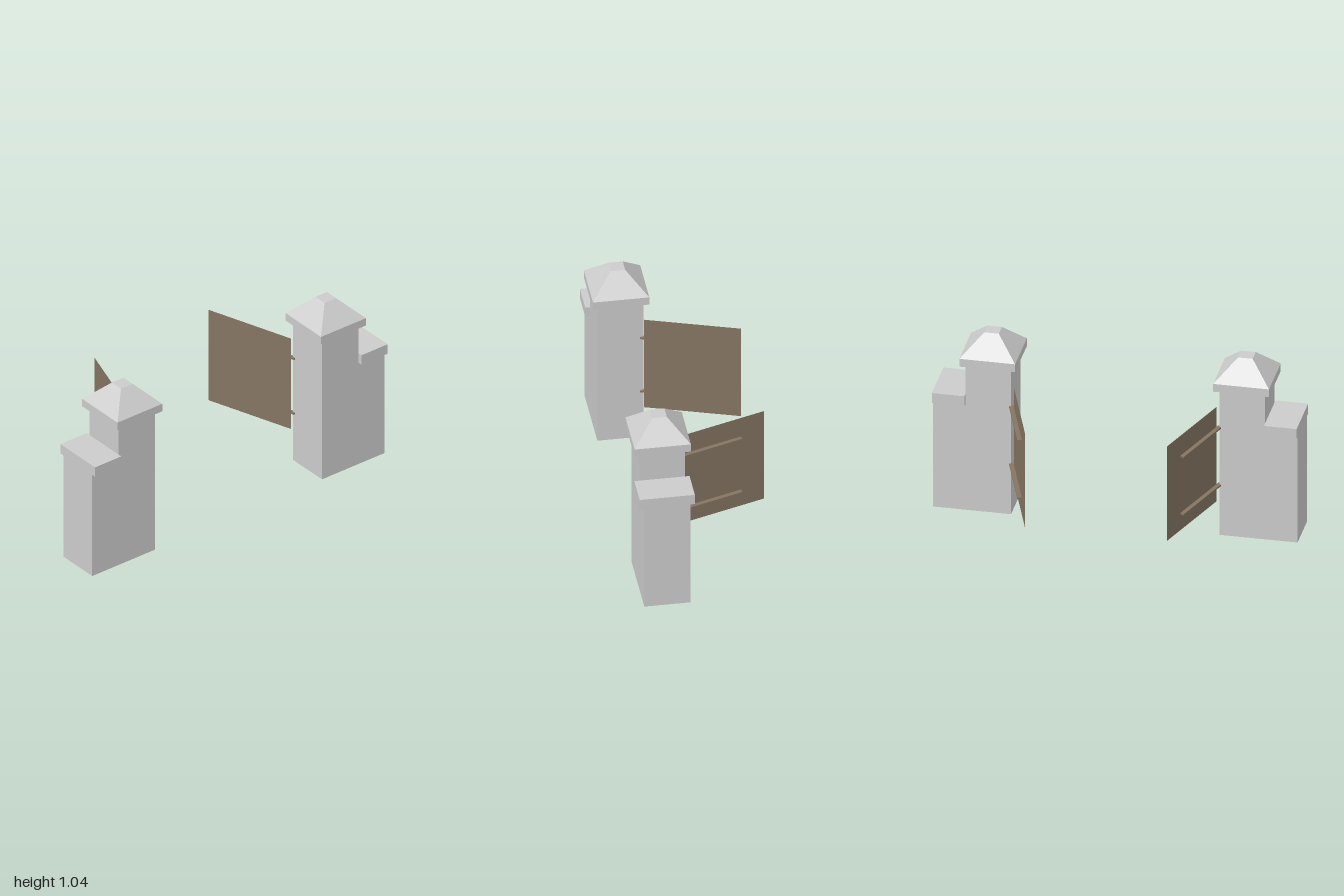
import * as THREE from 'three';

const stone = new THREE.MeshStandardMaterial({ color: 0xcccccc, flatShading: true, side: THREE.DoubleSide });
const wood = new THREE.MeshStandardMaterial({ color: 0x857562, flatShading: true, side: THREE.DoubleSide });

const Z = 0.235; // depth of the masonry centre line

function add(parent, name, geometry, material, x, y, z) {
  const mesh = new THREE.Mesh(geometry, material);
  mesh.name = name;
  mesh.position.set(x, y, z);
  parent.add(mesh);
  return mesh;
}

// Box standing on the ground with its underside left open
function hollowBox(w, h, d) {
  const g = new THREE.BoxGeometry(w, h, d);
  const index = Array.from(g.index.array);
  index.splice(18, 6);
  g.setIndex(index);
  g.clearGroups();
  return g;
}

// Square frustum given by half widths
function frustum(top, bottom, h) {
  return new THREE.CylinderGeometry(top * Math.SQRT2, bottom * Math.SQRT2, h, 4).rotateY(Math.PI / 4);
}

function gatePost(s) {
  const post = new THREE.Group();
  // Tall pillar with slab and truncated pyramid on top
  add(post, 'pillar', hollowBox(0.25, 0.88, 0.25), stone, s * 0.696, 0.44, Z);
  add(post, 'pillarSlab', new THREE.BoxGeometry(0.306, 0.047, 0.306), stone, s * 0.696, 0.9035, Z);
  add(post, 'pillarRoof', frustum(0.04, 0.153, 0.115), stone, s * 0.696, 0.9845, Z);
  // Lower wall stub with coping
  add(post, 'wall', hollowBox(0.179, 0.642, 0.25), stone, s * 0.9105, 0.321, Z);
  add(post, 'wallCoping', new THREE.BoxGeometry(0.179, 0.06, 0.3), stone, s * 0.9105, 0.671, Z);
  return post;
}

function gate(s) {
  const leaf = new THREE.Group();
  leaf.position.set(s * 0.556, 0, 0.11);
  leaf.rotation.y = s * Math.atan2(0.166, 0.5);
  // Thin leaf swung open towards the back
  add(leaf, 'gateLeaf', new THREE.PlaneGeometry(0.527, 0.573).rotateY(Math.PI / 2), wood, 0, 0.4885, -0.2635);
  // Hinge straps on the outer face
  for (const y of [0.302, 0.65]) {
    add(leaf, 'hingeStrap', new THREE.BoxGeometry(0.024, 0.009, 0.405), wood, s * 0.012, y, -0.1825);
  }
  return leaf;
}

export function createModel() {
  const model = new THREE.Group();
  model.name = 'gateway';
  for (const [s, side] of [[1, 'left'], [-1, 'right']]) {
    const post = gatePost(s);
    post.name = side + 'GatePost';
    const leaf = gate(s);
    leaf.name = side + 'Gate';
    model.add(post, leaf);
  }
  return model;
}
